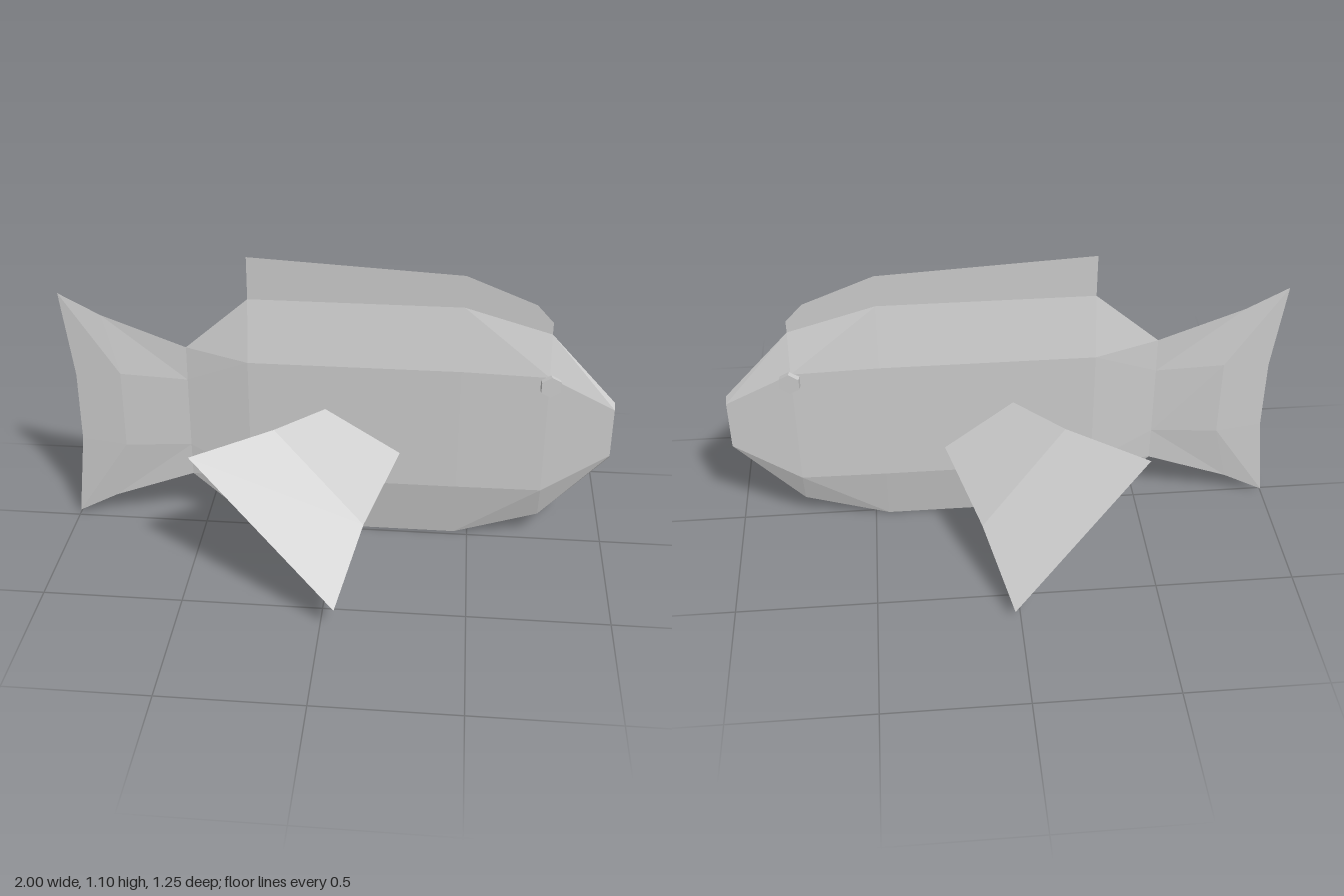
import * as THREE from 'three';

const MID_Z = -0.018;

function facets(name, points, index, side = THREE.FrontSide) {
  let geo = new THREE.BufferGeometry();
  geo.setAttribute('position', new THREE.Float32BufferAttribute(points.flat(), 3));
  geo.setIndex(index);
  geo = geo.toNonIndexed();
  geo.computeVertexNormals();
  const mat = new THREE.MeshStandardMaterial({ color: 0xcccccc, flatShading: true, side });
  const mesh = new THREE.Mesh(geo, mat);
  mesh.name = name;
  return mesh;
}

// Six-sided rings: ridge x, side x, ridge top, upper side, lower side, ridge bottom, half width
const SECTIONS = [
  [-1, -0.96, 0.935, 0.61, 0.34, 0.01, 0.005],
  [-0.85, -0.79, 0.855, 0.63, 0.33, 0.09, 0.02],
  [-0.545, -0.545, 0.74, 0.61, 0.335, 0.205, 0.004],
  [-0.315, -0.315, 0.94, 0.71, 0.23, 0, 0.044],
  [0.45, 0.45, 0.94, 0.71, 0.23, 0, 0.044],
  [0.76, 0.76, 0.85, 0.70, 0.23, 0.1, 0.041],
  [1, 1, 0.59, 0.57, 0.38, 0.36, 0.02],
];

function makeBody() {
  const points = [];
  for (const [rx, sx, top, up, low, bottom, w] of SECTIONS) {
    points.push(
      [rx, top, MID_Z], [sx, up, MID_Z + w], [sx, low, MID_Z + w],
      [rx, bottom, MID_Z], [sx, low, MID_Z - w], [sx, up, MID_Z - w]);
  }
  const index = [];
  for (let s = 0; s < SECTIONS.length - 1; s++) {
    for (let i = 0; i < 6; i++) {
      const a = s * 6 + i, b = s * 6 + (i + 1) % 6, a2 = a + 6, b2 = b + 6;
      // Diagonals start at the ridge so both flanks match
      if (i === 0 || i === 3) index.push(a, b, b2, a, b2, a2);
      else index.push(a, b, a2, b, b2, a2);
    }
  }
  // Nose and tail caps
  const cap = [[0, 1, 5], [1, 2, 4], [1, 4, 5], [2, 3, 4]];
  const nose = (SECTIONS.length - 1) * 6;
  for (const [a, b, c] of cap) index.push(nose + a, nose + b, nose + c, a, c, b);
  return facets('body', points, index);
}

// Thin fin on the back
function makeDorsalFin() {
  const outline = [[-0.315, 0.94], [0.45, 0.94], [0.76, 0.85], [0.76, 0.895],
    [0.7, 0.96], [0.45, 1.06], [-0.315, 1.1]];
  const shape = new THREE.Shape(outline.map(([x, y]) => new THREE.Vector2(x, y)));
  const fin = new THREE.Mesh(new THREE.ShapeGeometry(shape), new THREE.MeshStandardMaterial({
    color: 0xcccccc, flatShading: true, side: THREE.DoubleSide }));
  fin.name = 'dorsalFin';
  fin.position.z = MID_Z;
  return fin;
}

// Folded side fins: trailing tip, upper fold, upper root, lower root, lower fold, outer tip
const SIDE_FINS = {
  frontSideFin: [[-0.47, 0.53, 0.397], [-0.2, 0.54, 0.2], [-0.03, 0.535, 0.02],
    [0.24, 0.365, 0.022], [0.13, 0.26, 0.35], [0.05, 0.09, 0.625]],
  backSideFin: [[-0.46, 0.53, -0.435], [-0.19, 0.535, -0.24], [-0.02, 0.53, -0.06],
    [0.23, 0.34, -0.06], [0.115, 0.22, -0.37], [0.02, 0.04, -0.625]],
};

// Hexagonal eye disc tilted along the narrowing head
function makeEye(name, side) {
  const eye = new THREE.Group();
  eye.name = name;
  const disc = new THREE.Mesh(new THREE.CylinderGeometry(0.04, 0.04, 0.025, 6),
    new THREE.MeshStandardMaterial({ color: 0xcccccc, flatShading: true }));
  disc.name = 'eyeDisc';
  disc.rotation.x = Math.PI / 2;
  eye.add(disc);
  eye.position.set(0.765, 0.67, MID_Z + side * 0.046);
  eye.rotation.y = side * 0.13;
  return eye;
}

export function createModel() {
  const fish = new THREE.Group();
  fish.name = 'fish';
  fish.add(makeBody(), makeDorsalFin());
  for (const [name, points] of Object.entries(SIDE_FINS)) {
    fish.add(facets(name, points, [1, 2, 3, 1, 3, 4, 0, 1, 4, 0, 4, 5], THREE.DoubleSide));
  }
  fish.add(makeEye('frontEye', 1), makeEye('backEye', -1));
  return fish;
}
